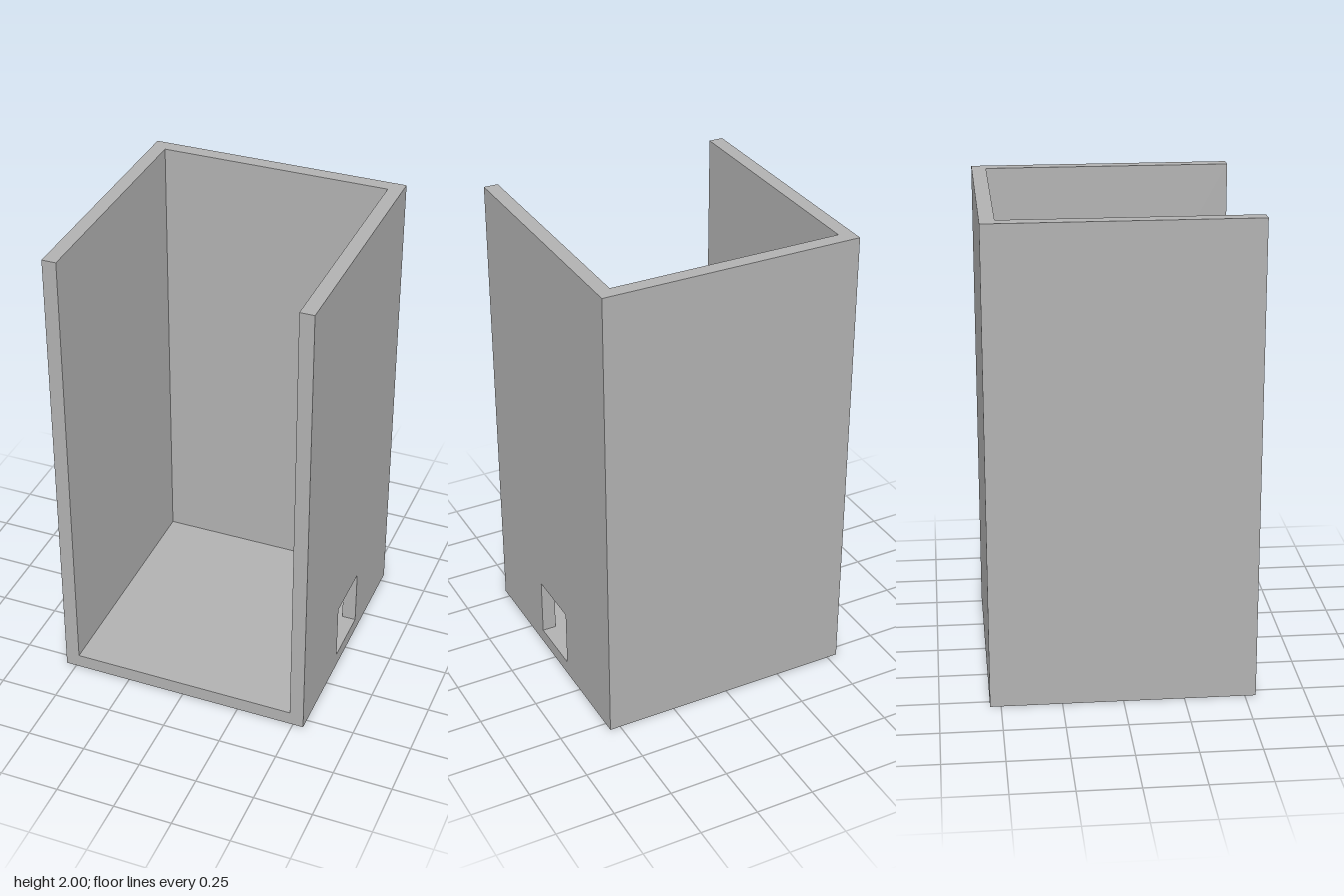
import * as THREE from 'three';

const HALF = 0.545;   // half of the outer width and depth
const HEIGHT = 2;
const WALL = 0.06;    // thickness of walls and floor
const INNER = HALF - WALL;

export function createModel() {
  const group = new THREE.Group();
  group.name = 'openFrontBox';
  const grey = new THREE.MeshStandardMaterial({ color: 0xb2b2b2 });
  grey.name = 'grey';

  const add = (name, geometry, x, y, z) => {
    const mesh = new THREE.Mesh(geometry, grey);
    mesh.name = name;
    mesh.position.set(x, y, z);
    group.add(mesh);
    return mesh;
  };

  // Floor and back wall fit between the two side walls
  add('floor', new THREE.BoxGeometry(2 * INNER, WALL, 2 * HALF), 0, WALL / 2, 0);
  add('backWall', new THREE.BoxGeometry(2 * INNER, HEIGHT - WALL, WALL),
    0, (HEIGHT + WALL) / 2, -HALF + WALL / 2);

  // Solid side wall
  add('solidSideWall', new THREE.BoxGeometry(WALL, HEIGHT, 2 * HALF),
    -HALF + WALL / 2, HEIGHT / 2, 0);

  // Side wall with a square opening that starts level with the floor
  const rect = (Type, w, y0, y1) => new Type([
    new THREE.Vector2(-w, y0), new THREE.Vector2(w, y0),
    new THREE.Vector2(w, y1), new THREE.Vector2(-w, y1),
  ]);
  const outline = rect(THREE.Shape, HALF, 0, HEIGHT);
  outline.holes.push(rect(THREE.Path, 0.125, WALL, 0.31));
  const wall = new THREE.ExtrudeGeometry(outline, { depth: WALL, bevelEnabled: false });
  wall.rotateY(Math.PI / 2);
  add('openingSideWall', wall, INNER, 0, 0);

  return group;
}
